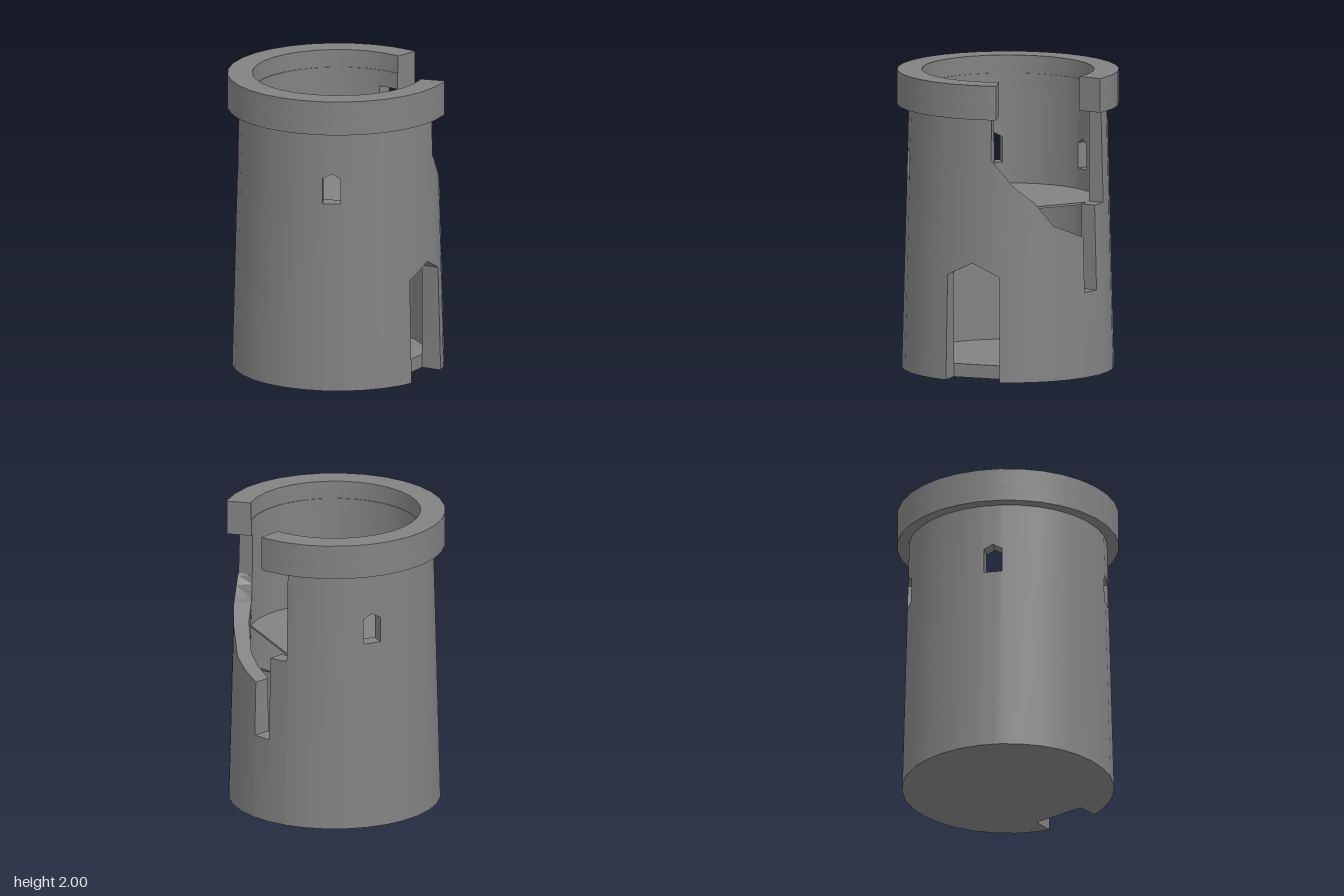
import * as THREE from 'three';
import { toCreasedNormals } from 'three/addons/utils/BufferGeometryUtils.js';

const RAD = Math.PI / 180, SIDES = 32, STEP = 360 / SIDES;
const material = new THREE.MeshStandardMaterial({ color: 0x828282 });

// Angles run in degrees from the front (+z) towards +x.
// Point on the 32-sided plan, at the given corner radius.
function polar(az, r, y) {
  const rel = (((az + STEP / 2) % STEP) + STEP) % STEP - STEP / 2;
  const f = r * Math.cos(STEP / 2 * RAD) / Math.cos(rel * RAD);
  return [f * Math.sin(az * RAD), y, f * Math.cos(az * RAD)];
}

// Doorway and windows: gabled openings with parallel jambs
const gable = (c, width, bottom, shoulder, peak, rOut, rIn) => ({
  c, bottom, shoulder, peak,
  half: Math.asin(width / 2 / rOut) / RAD,
  halfIn: Math.asin(width / 2 / rIn) / RAD,
});
const door = gable(16.4, 0.372, 0, 0.705, 0.795, 0.69, 0.57);
const windows = [156, 226.5, 313].map((c) => gable(c, 0.12, 1.28, 1.45, 1.483, 0.665, 0.57));
const openings = [door, ...windows];

// Broken top of the wall: [angle, height, angle, height]
const breach = [
  [27, 1.49, 40, 1.31], [40, 1.31, 52, 1.2], [52, 1.2, 63, 1.04], [63, 1.04, 84, 0.94],
  [84, 0.57, 95, 0.57], [95, 1.14, 106, 1.14],
];
// The breach runs sideways through the wall: [outer angle, inner angle]
const breachBend = [
  [27, 27], [40, 29.5], [52, 44.4], [63, 58], [84, 83.3], [95, 95.8], [106, 108.2], [120, 120],
];
const SPLIT = 0.85;

// Inner angle belonging to an outer angle
function bend(az, y) {
  if (az >= 27 && az <= 120 && y > (az > 80 ? 0.5 : SPLIT)) {
    const i = Math.max(1, breachBend.findIndex((p) => az <= p[0]));
    const [a0, b0] = breachBend[i - 1], [a1, b1] = breachBend[i];
    return b0 + (b1 - b0) * (az - a0) / (a1 - a0);
  }
  for (const o of openings) {
    const d = az - o.c, a = Math.abs(d), extra = o.halfIn - o.half;
    if (a <= o.half) return o.c + d * o.halfIn / o.half;
    if (a < 2.5 * o.half) return az + Math.sign(d) * extra * (2.5 * o.half - a) / (1.5 * o.half);
  }
  return az;
}

// Solid height spans of the wall at angle az, in the column whose middle is mid
function wallSpans(az, mid) {
  let top = 1.77;
  for (const [a0, y0, a1, y1] of breach) {
    if (mid > a0 && mid < a1) top = y0 + (y1 - y0) * (az - a0) / (a1 - a0);
  }
  const o = openings.find((p) => Math.abs(mid - p.c) < p.half);
  const head = o ? o.peak + (o.shoulder - o.peak) * Math.abs(az - o.c) / o.half : 0;
  if (o && o.bottom > 0) return [[0, o.bottom], [head, top]];
  // courses split above the doorway
  return mid < 80 ? [[head, SPLIT], [SPLIT, top]] : [[head, top]];
}

// Curved masonry built column by column from its height spans
function masonry(breaks, spansAt, outer, inner, innerAngle = (az) => az) {
  const cuts = [...breaks];
  for (let i = 0; i < SIDES; i++) cuts.push((i + 0.5) * STEP);
  cuts.sort((a, b) => a - b);
  const edges = cuts.filter((a, i) => i === 0 || a - cuts[i - 1] > 1e-4);
  const n = edges.length, pos = [];
  const quad = (a, b, c, d) => pos.push(...a, ...b, ...c, ...a, ...c, ...d);
  const columns = edges.map((a0, i) => {
    const a1 = i + 1 < n ? edges[i + 1] : edges[0] + 360;
    const mid = (a0 + a1) / 2, m = mid % 360, off = m - mid;
    return { a0, a1, s0: spansAt(a0 + off, m), s1: spansAt(a1 + off, m) };
  });
  const key = (s) => s.map((p) => p.map((v) => v.toFixed(4)).join()).join(';');
  columns.forEach(({ a0, a1, s0, s1 }, i) => {
    const openStart = key(columns[(i + n - 1) % n].s1) !== key(s0);
    const openEnd = key(columns[(i + 1) % n].s0) !== key(s1);
    s0.forEach(([b0, t0], k) => {
      const [b1, t1] = s1[k];
      const O = (a, y) => polar(a, outer(y), y), I = (a, y) => polar(innerAngle(a % 360, y), inner, y);
      quad(O(a0, b0), O(a1, b1), O(a1, t1), O(a0, t0));
      quad(I(a1, b1), I(a0, b0), I(a0, t0), I(a1, t1));
      quad(O(a0, t0), O(a1, t1), I(a1, t1), I(a0, t0));
      quad(I(a0, b0), I(a1, b1), O(a1, b1), O(a0, b0));
      if (openEnd) quad(O(a1, b1), I(a1, b1), I(a1, t1), O(a1, t1));
      if (openStart) quad(I(a0, b0), O(a0, b0), O(a0, t0), I(a0, t0));
    });
  });
  const g = new THREE.BufferGeometry();
  g.setAttribute('position', new THREE.Float32BufferAttribute(pos, 3));
  return toCreasedNormals(g, 0.45);
}

// Round floor slab from angle a0 to a1, closed by a straight edge
function floorSlab(a0, a1, depth) {
  const rim = [a0];
  for (let a = STEP / 2; a < a1; a += STEP) if (a > a0) rim.push(a);
  rim.push(a1);
  const outline = rim.map((a) => {
    const [x, , z] = polar(a, 0.57, 0);
    return new THREE.Vector2(x, z);
  });
  const slab = new THREE.ExtrudeGeometry(new THREE.Shape(outline), { depth, bevelEnabled: false });
  return slab.rotateX(Math.PI / 2);
}

export function createModel() {
  const group = new THREE.Group();
  const add = (name, geometry, y = 0) => {
    const mesh = new THREE.Mesh(geometry, material);
    mesh.name = name;
    mesh.position.y = y;
    group.add(mesh);
  };

  // Tapered wall with doorway, windows and breach
  const wallBreaks = [
    ...openings.flatMap((o) => [o.c - o.half, o.c, o.c + o.half]),
    ...breach.flatMap((b) => [b[0], b[2]]),
  ];
  add('towerWall', masonry(wallBreaks, wallSpans, (y) => 0.706 - 0.046 * y / 1.77, 0.57, bend));

  // Overhanging crown, broken above the breach, with a small ledge inside
  const ends = [30.5, 92.8];
  const crownPart = (y0, y1, inner) => masonry(ends,
    (az, mid) => (mid > ends[0] && mid < ends[1] ? [] : [[y0, y1]]), () => 0.737, inner);
  add('crownLower', crownPart(1.77, 1.88, 0.568));
  add('crownUpper', crownPart(1.88, 2, 0.573));

  // Ground floor, straight at the doorway, and upper floor, cut off at the breach
  add('groundFloor', floorSlab(door.c + door.halfIn, 360 + door.c - door.halfIn, 0.09), 0.09);
  add('upperFloor', floorSlab(103, 391, 0.015), 1.14);

  return group;
}
